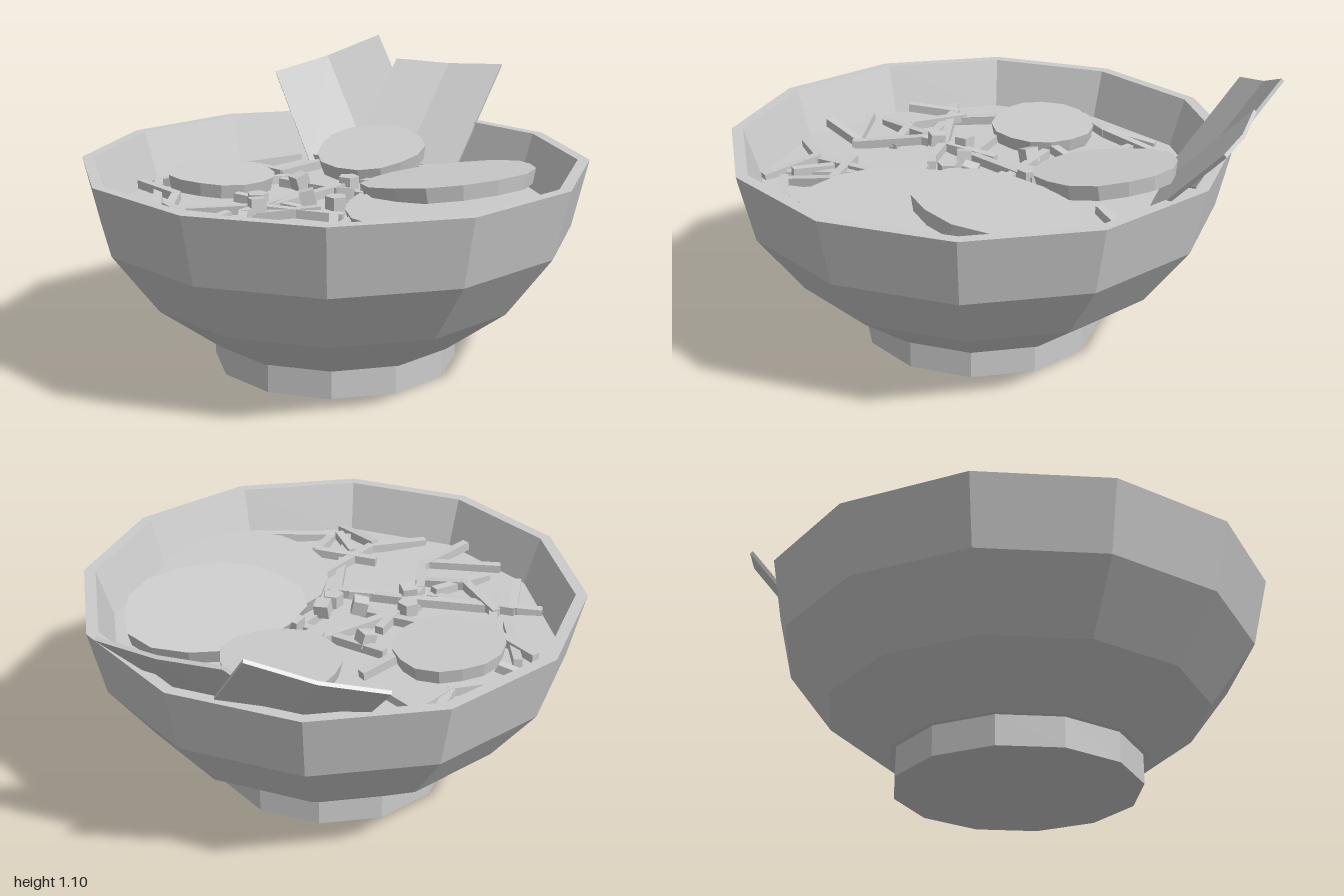
import * as THREE from 'three';

const CX = -0.035, CZ = 0.017, BROTH = 0.6;
const mat = new THREE.MeshStandardMaterial({ color: 0xcccccc, flatShading: true });

function add(parent, geometry, name, x = 0, y = 0, z = 0) {
  const mesh = new THREE.Mesh(geometry, mat);
  mesh.name = name;
  mesh.position.set(x, y, z);
  parent.add(mesh);
  return mesh;
}

// Flat slice with a slightly uneven rim, tilted about a horizontal axis
function slice(parent, name, rx, rz, [x, y, z], turn, tiltX, tiltZ, thick = 0.06) {
  const geo = new THREE.CylinderGeometry(1, 0.95, thick, 15);
  const p = geo.attributes.position;
  for (let i = 0; i < p.count; i++) {
    const a = Math.atan2(p.getZ(i), p.getX(i));
    const k = 1 + 0.025 * Math.sin(3 * a + x * 9) + 0.02 * Math.cos(5 * a + z * 7);
    p.setX(i, p.getX(i) * k * rx);
    p.setZ(i, p.getZ(i) * k * rz);
  }
  geo.rotateY(turn);
  add(parent, geo, name, x, y - thick / 2, z).rotation.set(tiltX, 0, tiltZ);
}

// Thin sheet spanned by a top edge and a downward side, creased down the middle
function sheet(parent, name, topLeft, topRight, down, sag) {
  const o = new THREE.Vector3(...topLeft);
  const u = new THREE.Vector3(...topRight).sub(o);
  const v = new THREE.Vector3(...down);
  const n = new THREE.Vector3().crossVectors(v, u).normalize();
  const geo = new THREE.BoxGeometry(1, 0.014, 1, 2, 1, 1);
  const p = geo.attributes.position, q = new THREE.Vector3();
  for (let i = 0; i < p.count; i++) {
    const s = p.getX(i) + 0.5, t = p.getZ(i) + 0.5;
    const off = p.getY(i) - 0.007 + (Math.abs(s - 0.5) < 0.01 ? sag : 0);
    q.copy(o).addScaledVector(u, s).addScaledVector(v, t).addScaledVector(n, off);
    p.setXYZ(i, q.x, q.y, q.z);
  }
  add(parent, geo, name);
}

// Noodle: square strands joined at the bends of a path
function noodle(parent, path, index) {
  const pts = path.map(([x, z], i) =>
    new THREE.Vector3(x, BROTH + 0.022 + 0.016 * Math.sin(index * 2.3 + i * 2.1), z));
  for (let i = 1; i < pts.length; i++) {
    const a = pts[i - 1], b = pts[i];
    const m = add(parent, new THREE.BoxGeometry(0.034, 0.034, a.distanceTo(b) + 0.015), 'noodle');
    m.position.copy(a).lerp(b, 0.5);
    m.lookAt(b);
  }
}

export function createModel() {
  const root = new THREE.Group();
  root.name = 'noodleBowl';

  // Twelve-sided bowl with its foot, rim and inner wall
  const profile = [[0, 0], [0.47, 0], [0.47, 0.115], [0.49, 0.115], [0.73, 0.295], [0.905, 0.53],
    [0.965, 0.79], [0.92, 0.79], [0.85, 0.57], [0.66, 0.33], [0, 0.25]]
    .map(([r, y]) => new THREE.Vector2(r, y));
  add(root, new THREE.LatheGeometry(profile, 12), 'bowl', CX, 0, CZ);
  add(root, new THREE.CylinderGeometry(0.86, 0.84, 0.04, 12), 'broth', CX, BROTH - 0.02, CZ);

  // Noodles lying on the broth, as x, z paths
  const noodles = new THREE.Group();
  noodles.name = 'noodles';
  root.add(noodles);
  [
    [[-0.43, -0.65], [-0.2, -0.63], [0.2, -0.76]],
    [[-0.2, -0.64], [-0.05, -0.77]],
    [[-0.52, -0.62], [-0.45, -0.55]],
    [[-0.6, -0.55], [-0.55, -0.32], [-0.72, -0.05]],
    [[-0.53, -0.55], [-0.65, -0.27]],
    [[-0.82, -0.23], [-0.37, 0.02], [-0.13, 0.24]],
    [[-0.83, -0.03], [-0.72, -0.19], [-0.48, 0.05]],
    [[-0.85, 0.15], [-0.58, 0.32], [-0.45, 0.08], [-0.18, -0.11]],
    [[-0.42, 0.05], [-0.18, 0.16]],
    [[-0.8, 0.35], [-0.58, 0.3]],
    [[-0.68, 0.5], [-0.44, 0.52], [-0.14, 0.35]],
    [[-0.4, 0.4], [-0.21, 0.56], [-0.34, 0.7]],
    [[-0.46, 0.53], [-0.42, 0.76]],
    [[-0.37, 0.7], [-0.03, 0.81]],
    [[-0.36, 0.66], [-0.35, 0.51]],
    [[-0.16, 0.24], [-0.4, 0.67]],
    [[-0.4, 0], [0.13, -0.13]],
    [[-0.13, -0.35], [0.02, -0.38]],
    [[-0.05, -0.67], [0, -0.51], [0.24, -0.52]],
    [[0.25, -0.67], [0.26, -0.52]],
    [[0.48, -0.22], [0.73, -0.22]],
    [[0.32, 0.77], [0.56, 0.5]],
    [[-0.64, -0.19], [-0.64, 0.05], [-0.5, 0.19]],
    [[-0.35, -0.19], [-0.16, 0.08]],
    [[-0.77, 0.11], [-0.5, 0.05]],
    [[-0.1, -0.3], [0.1, 0.02], [-0.1, 0.15]],
  ].forEach((path, i) => noodle(noodles, path, i));

  // Round slices
  slice(root, 'largeSliceLower', 0.335, 0.345, [0.15, 0.67, 0.445], 0, -0.03, 0);
  slice(root, 'largeSliceUpper', 0.365, 0.285, [0.395, 0.71, 0.17], 0.1, -0.12, 0.02);
  slice(root, 'ovalSlice', 0.275, 0.22, [0.32, 0.73, -0.33], 0.95, 0.07, 0.12);
  slice(root, 'smallSlice', 0.215, 0.205, [-0.32, 0.68, -0.4], 0, 0.03, -0.04, 0.055);

  // Two seaweed sheets leaning on the rim
  sheet(root, 'seaweedSheetBack', [0.21, 0.95, -0.99], [0.655, 1.1, -0.85], [0, -0.36, 0.34], -0.02);
  sheet(root, 'seaweedSheetSide', [0.675, 1.01, -0.725], [0.995, 1.01, -0.38], [-0.325, -0.38, 0.16], -0.015);

  // Chopped garnish: cubes and five-sided rings of stalk
  [[-0.07, -0.21], [-0.38, 0.05], [-0.16, 0.03], [-0.02, 0.07], [0.13, 0.0]].forEach(([x, z], i) => {
    add(root, new THREE.BoxGeometry(0.058, 0.058, 0.058), 'garnishCube', x, 0.655, z)
      .rotation.set(0.25 * Math.sin(i * 3), i * 1.3 + 0.1, 0.3 * Math.cos(i * 2));
  });
  [[-0.33, -0.05], [0.1, -0.12], [-0.09, 0.13]].forEach(([x, z], i) => {
    add(root, new THREE.CylinderGeometry(0.042, 0.042, 0.05, 5), 'garnishPiece', x, 0.65, z)
      .rotation.y = i * 0.9;
  });

  return root;
}
